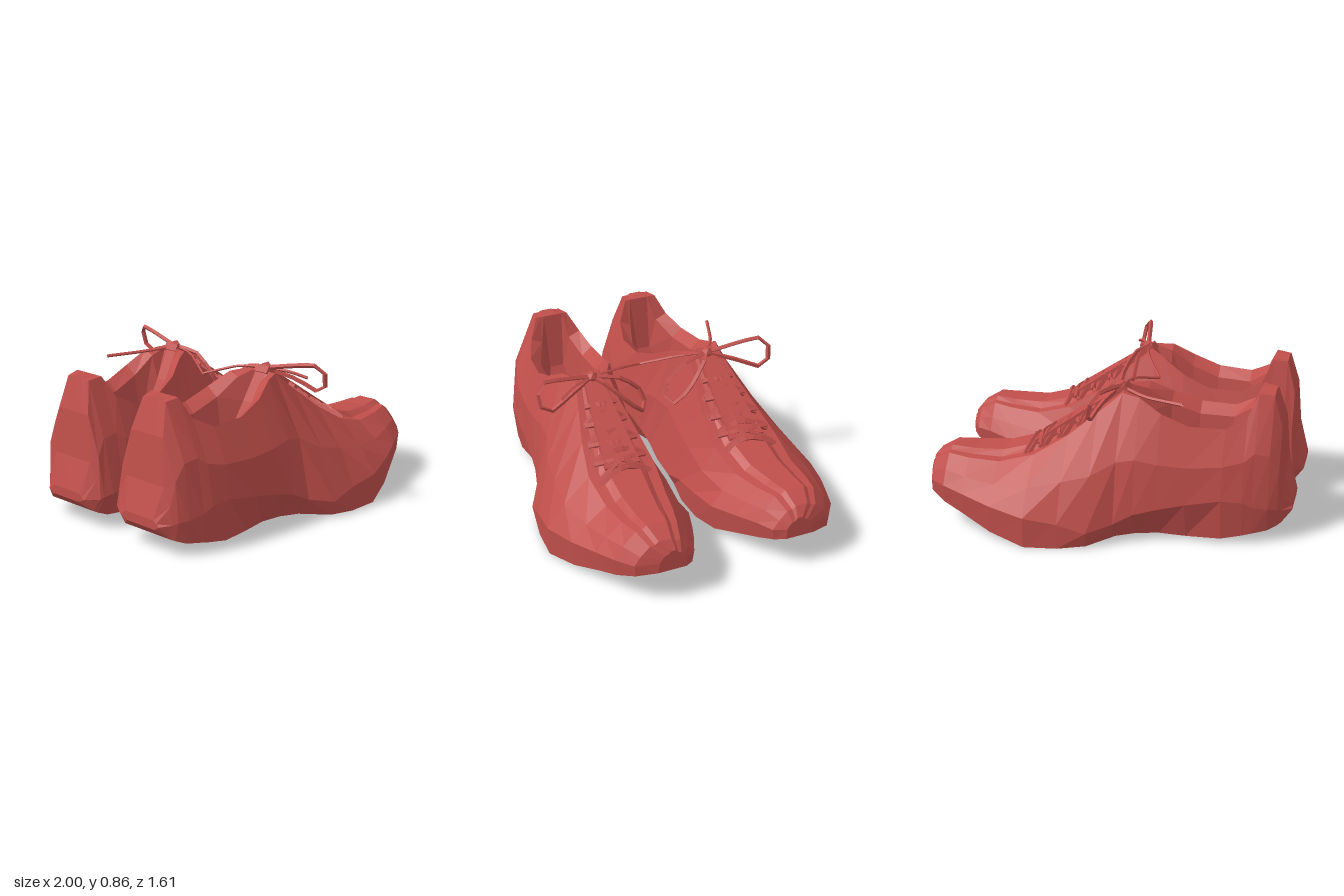
import * as THREE from 'three';

const material = new THREE.MeshStandardMaterial({ color: 0xc04f4b, flatShading: true, side: THREE.DoubleSide });
const V = (p) => new THREE.Vector3(...p);

// Lower sections, heel to toe: x, ground y, sole inner z / outer z, widest y, widest inner z / outer z
const lower = [
  [-1.0, .15, .25, .45, .17, .20, .48],
  [-.95, .10, .18, .51, .18, .12, .53],
  [-.93, .09, .16, .53, .19, .11, .55],
  [-.88, .07, .14, .56, .20, .09, .58],
  [-.80, .06, .13, .59, .22, .075, .605],
  [-.75, .05, .125, .60, .25, .07, .62],
  [-.64, .03, .13, .61, .26, .06, .635],
  [-.45, .02, .19, .58, .23, .08, .645],
  [-.30, .02, .25, .56, .20, .08, .66],
  [-.18, .02, .27, .58, .17, .075, .675],
  [-.08, .02, .22, .63, .12, .07, .70],
  [.05, .01, .11, .755, .09, .07, .775],
  [.20, .00, .075, .785, .14, .065, .785],
  [.38, .00, .065, .79, .17, .05, .795],
  [.58, .045, .07, .72, .20, .05, .73],
  [.75, .11, .12, .645, .23, .105, .655],
  [.87, .15, .165, .59, .25, .15, .60],
  [.96, .185, .20, .52, .25, .19, .525],
  [1.0, .20, .25, .41, .26, .25, .40],
];
// Matching upper sections: rim y, rim inner z / outer z, middle y (insole or vamp), inset of the middle from the rim
const upper = [
  [.20, .24, .44, .20, .05], [.37, .20, .47, .37, .06], [.62, .22, .45, .62, .06], [.79, .26, .42, .80, .05],
  [.80, .24, .43, .80, .05], [.69, .18, .48, .48, .11], [.63, .145, .525, .29, .10],
  [.64, .135, .54, .27, .10], [.70, .16, .53, .36, .11], [.77, .21, .49, .62, .10],
  [.78, .26, .45, .79, .06], [.67, .24, .48, .68, .06], [.55, .20, .52, .56, .09],
  [.44, .17, .55, .47, .10], [.38, .19, .53, .415, .09], [.385, .22, .51, .41, .08],
  [.395, .25, .48, .42, .06], [.35, .27, .44, .37, .05], [.30, .28, .37, .32, .03],
];

function shoeBody() {
  const pos = [], index = [], n = 12;
  lower.forEach(([x, yb, bi, bo, yw, wi, wo], i) => {
    const [yr, ri, ro, yt, inset] = upper[i];
    const bulge = .04 * (yr - yw);
    const ym = (yw + yr) / 2;
    // Padded collar lip between the rim and the middle
    const yl = yr + .15 * (yt - yr), lip = .6 * inset;
    const ring = [
      [yb, bi], [yb, bo], [yw, wo], [ym, (wo + ro) / 2 + 2 * bulge], [yr, ro], [yl, ro - lip],
      [yt, ro - inset], [yt, ri + inset], [yl, ri + lip], [yr, ri], [ym, (wi + ri) / 2 - bulge], [yw, wi],
    ];
    ring.forEach(([y, z]) => pos.push(x, y, z));
  });
  const last = lower.length - 1;
  for (let i = 0; i < last; i++) {
    for (let j = 0; j < n; j++) {
      const a = i * n + j, c = i * n + (j + 1) % n;
      index.push(a, a + n, c, a + n, c + n, c);
    }
  }
  // Heel and toe caps
  for (let j = 1; j < n - 1; j++) {
    index.push(0, j, j + 1, last * n, last * n + j + 1, last * n + j);
  }
  const g = new THREE.BufferGeometry();
  g.setAttribute('position', new THREE.Float32BufferAttribute(pos, 3));
  g.setIndex(index);
  return g;
}

// Lace: a thin, angular four-sided tube through a few points
function lace(points, radius = .013) {
  const curve = new THREE.CatmullRomCurve3(points.map(V), false, 'catmullrom', .3);
  return new THREE.TubeGeometry(curve, points.length + 3, radius, 4);
}

// Tongue: a slab sloping down the throat, narrower at the top end
function tongue() {
  const g = new THREE.BoxGeometry(.58, .04, .2);
  const p = g.attributes.position;
  for (let i = 0; i < p.count; i++) if (p.getX(i) < 0) p.setZ(i, p.getZ(i) * .45);
  g.rotateZ(Math.atan2(-.34, .5));
  g.translate(.15, .63, .36);
  return g;
}

function createShoe(name, right) {
  const shoe = new THREE.Group();
  shoe.name = name;
  // The second shoe is mirrored in z and toes out slightly
  const mirror = new THREE.Matrix4().set(1, 0, 0, 0, 0, 1, 0, 0, -.1, 0, -1, .02, 0, 0, 0, 1);
  const add = (part, source) => {
    const g = source.toNonIndexed();
    if (right) {
      const reversed = [];
      for (let i = 0; i < g.attributes.position.count; i += 3) reversed.push(i, i + 2, i + 1);
      g.applyMatrix4(mirror);
      g.setIndex(reversed);
    }
    g.computeVertexNormals();
    const mesh = new THREE.Mesh(g, material);
    mesh.name = part;
    shoe.add(mesh);
  };

  add('body', shoeBody());
  add('tongue', tongue());

  // Crossed lacing down the throat, wider towards the toe
  const rows = [[.05, .72, .09], [.13, .65, .12], [.23, .585, .14], [.33, .53, .15], [.42, .475, .15]];
  rows.slice(1).forEach(([x, y, w], i) => {
    const [px, py, pw] = rows[i];
    const mid = [(x + px) / 2, (y + py) / 2, .36];
    for (const s of [-1, 1]) {
      add('crossLace', lace([[x, y - .05, .36 + s * w], mid, [px + .02, py - .04, .36 - s * pw]], .016));
    }
    add('laceBar', lace([[x, y - .06, .36 - w], [x - .01, y, .32], [x, y, .4], [x + .02, y - .06, .36 + w]], .02));
  });

  // Bow: knot, two loops and the loose ends
  const knot = [-.05, .79, .36];
  const knotGeometry = new THREE.IcosahedronGeometry(.035, 0);
  knotGeometry.translate(...knot);
  add('knot', knotGeometry);
  add('outerBowLoop', lace([knot, [-.02, .83, .55], [0, .845, .66], [.03, .81, .7],
    [.05, .72, .69], [.05, .69, .63], [.02, .74, .52], knot]));
  add('innerBowLoop', lace([knot, [-.02, .77, .22], [-.02, .68, .1], [.02, .58, .07],
    [.06, .57, .11], [.07, .65, .19], [.02, .76, .3], knot]));
  add('laceEnd', lace([knot, [-.09, .78, .2], [-.19, .72, .02]], .007));
  add('laceEnd', lace(right
    ? [knot, [-.2, .77, .47], [-.42, .77, .57]]
    : [knot, [0, .78, .48], [.05, .75, .57]], .009));
  return shoe;
}

export function createModel() {
  const model = new THREE.Group();
  model.name = 'pairOfShoes';
  model.add(createShoe('nearShoe', false), createShoe('farShoe', true));
  return model;
}
